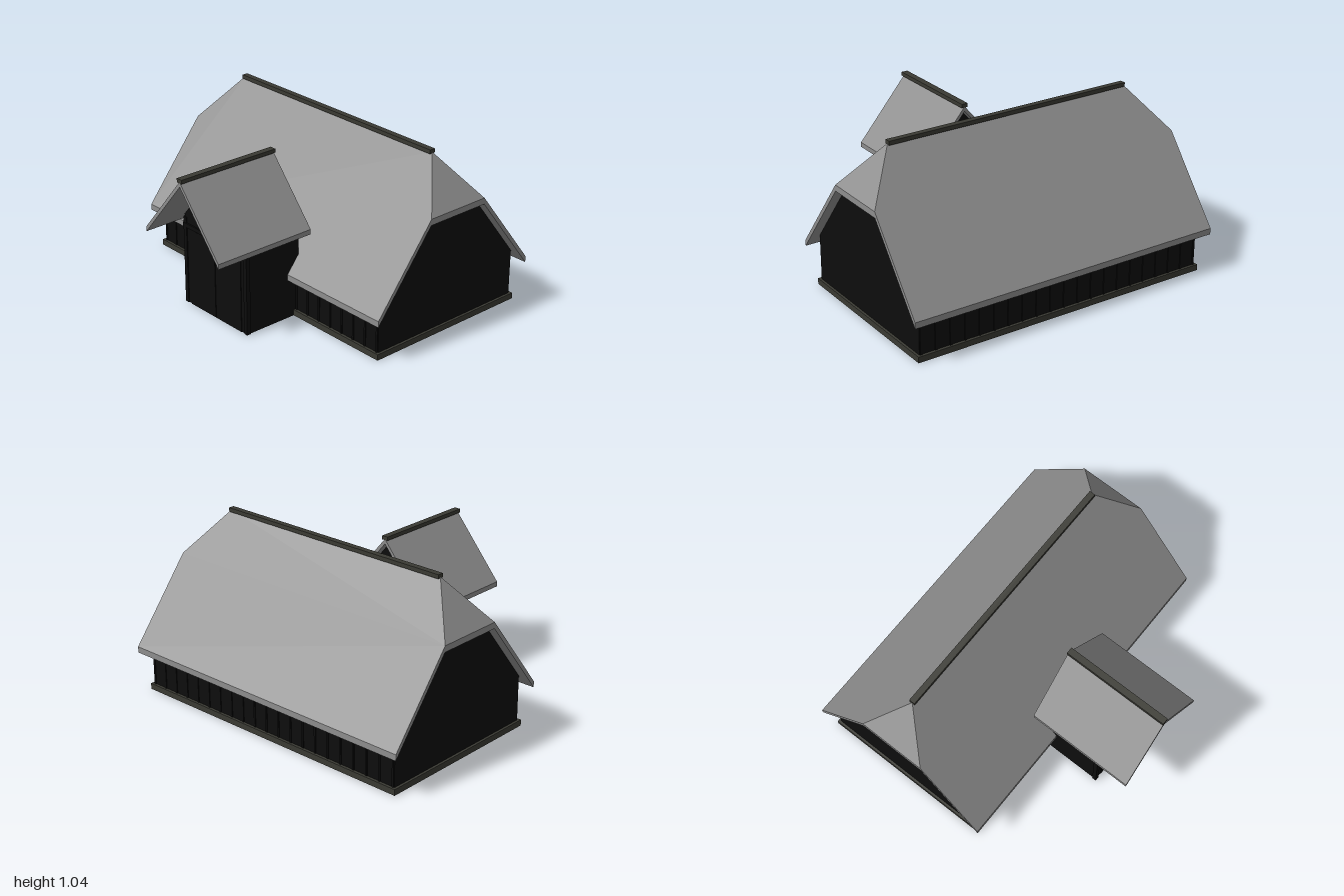
import * as THREE from 'three';

const roofMat = new THREE.MeshStandardMaterial({ color: 0x8e8e8e });
roofMat.name = 'grey roofing';
const wallMat = new THREE.MeshStandardMaterial({ color: 0x0d0d0d });
wallMat.name = 'black timber';
const trimMat = new THREE.MeshStandardMaterial({ color: 0x3a3a33 });
trimMat.name = 'dark stone';

const RIDGE_Z = -0.265;

function addMesh(parent, name, geometry, material) {
  const mesh = new THREE.Mesh(geometry, material);
  mesh.name = name;
  parent.add(mesh);
  return mesh;
}

// Box given by its minimum and maximum corners
function addBox(parent, name, material, [x0, y0, z0], [x1, y1, z1]) {
  const mesh = addMesh(parent, name, new THREE.BoxGeometry(x1 - x0, y1 - y0, z1 - z0), material);
  mesh.position.set((x0 + x1) / 2, (y0 + y1) / 2, (z0 + z1) / 2);
  return mesh;
}

// Flat convex roof plane, thickened straight down
function slab(points, thickness) {
  let top = points.map((p) => new THREE.Vector3(...p));
  const normal = top[1].clone().sub(top[0]).cross(top[2].clone().sub(top[0]));
  if (normal.y < 0) top = top.reverse();
  const low = top.map((p) => p.clone().setY(p.y - thickness));
  const out = [];
  const tri = (...corners) => corners.forEach((c) => out.push(c.x, c.y, c.z));
  for (let i = 1; i < top.length - 1; i++) {
    tri(top[0], top[i], top[i + 1]);
    tri(low[0], low[i + 1], low[i]);
  }
  for (let i = 0; i < top.length; i++) {
    const j = (i + 1) % top.length;
    tri(top[i], low[i], low[j]);
    tri(top[i], low[j], top[j]);
  }
  const geometry = new THREE.BufferGeometry();
  geometry.setAttribute('position', new THREE.Float32BufferAttribute(out, 3));
  geometry.computeVertexNormals();
  return geometry;
}

// Wall block with a symmetrical gable outline, extruded along z
function gableBlock(halfOutline, depth) {
  const mirrored = halfOutline.map(([x, y]) => [-x, y]).reverse();
  const shape = new THREE.Shape([...halfOutline, ...mirrored].map(([x, y]) => new THREE.Vector2(x, y)));
  return new THREE.ExtrudeGeometry(shape, { depth, bevelEnabled: false });
}

function buildHall() {
  const hall = new THREE.Group();
  hall.name = 'mainHall';
  addBox(hall, 'plinth', trimMat, [-0.955, 0, -0.807], [0.955, 0.036, 0.277]);

  const walls = gableBlock([[0.525, 0.02], [0.525, 0.311], [0.152, 0.785]], 1.88);
  walls.rotateY(Math.PI / 2).translate(-0.94, 0, RIDGE_Z);
  addMesh(hall, 'hallWalls', walls, wallMat);

  // Board battens on the long walls
  for (let i = 0; i <= 20; i++) {
    const x = -0.93 + i * 0.093;
    addBox(hall, 'frontBatten', wallMat, [x - 0.006, 0.036, 0.258], [x + 0.006, 0.304, 0.265]);
    addBox(hall, 'backBatten', wallMat, [x - 0.006, 0.036, -0.795], [x + 0.006, 0.304, -0.788]);
  }

  // Half-hipped roof: two long slopes and two small hips
  const eave = 0.274, hipY = 0.755, top = 1.02, ridgeX = 0.79, run = 0.587, hipRun = 0.207;
  for (const s of [1, -1]) {
    addMesh(hall, s > 0 ? 'frontSlope' : 'backSlope', slab([
      [-1, eave, RIDGE_Z + s * run], [1, eave, RIDGE_Z + s * run],
      [1, hipY, RIDGE_Z + s * hipRun], [ridgeX, top, RIDGE_Z],
      [-ridgeX, top, RIDGE_Z], [-1, hipY, RIDGE_Z + s * hipRun],
    ], 0.037), roofMat);
    addMesh(hall, s > 0 ? 'leftHip' : 'rightHip', slab([
      [s, hipY, RIDGE_Z + hipRun], [s, hipY, RIDGE_Z - hipRun], [s * ridgeX, top, RIDGE_Z],
    ], 0.037), roofMat);
  }
  addBox(hall, 'hallRidgeCap', trimMat, [-0.792, 1.012, RIDGE_Z - 0.018], [0.792, 1.036, RIDGE_Z + 0.018]);
  return hall;
}

function buildPorch() {
  const porch = new THREE.Group();
  porch.name = 'entrancePorch';
  const walls = gableBlock([[0.27, 0], [0.27, 0.555], [0, 0.872]], 0.38);
  walls.translate(0, 0, 0.24);
  addMesh(porch, 'porchWalls', walls, wallMat);

  // Corner posts, lintel and double doors
  for (const s of [1, -1]) {
    const post = addBox(porch, 'cornerPost', wallMat, [-0.013, 0, 0.6], [0.013, 0.54, 0.626]);
    post.position.x = s * 0.263;
    const door = addBox(porch, 'doorLeaf', wallMat, [-0.11, 0, 0.618], [0.11, 0.475, 0.624]);
    door.position.x = s * 0.113;
  }
  addBox(porch, 'lintel', wallMat, [-0.276, 0.48, 0.61], [0.276, 0.505, 0.63]);

  for (const s of [1, -1]) {
    addMesh(porch, s > 0 ? 'porchLeftSlope' : 'porchRightSlope', slab([
      [s * 0.319, 0.532, 0.853], [s * 0.319, 0.532, 0.193], [0, 0.907, 0.193], [0, 0.907, 0.853],
    ], 0.03), roofMat);
  }
  addBox(porch, 'porchRidgeCap', trimMat, [-0.02, 0.901, 0.192], [0.02, 0.924, 0.855]);
  return porch;
}

export function createModel() {
  const barn = new THREE.Group();
  barn.name = 'barn';
  barn.add(buildHall(), buildPorch());
  return barn;
}
